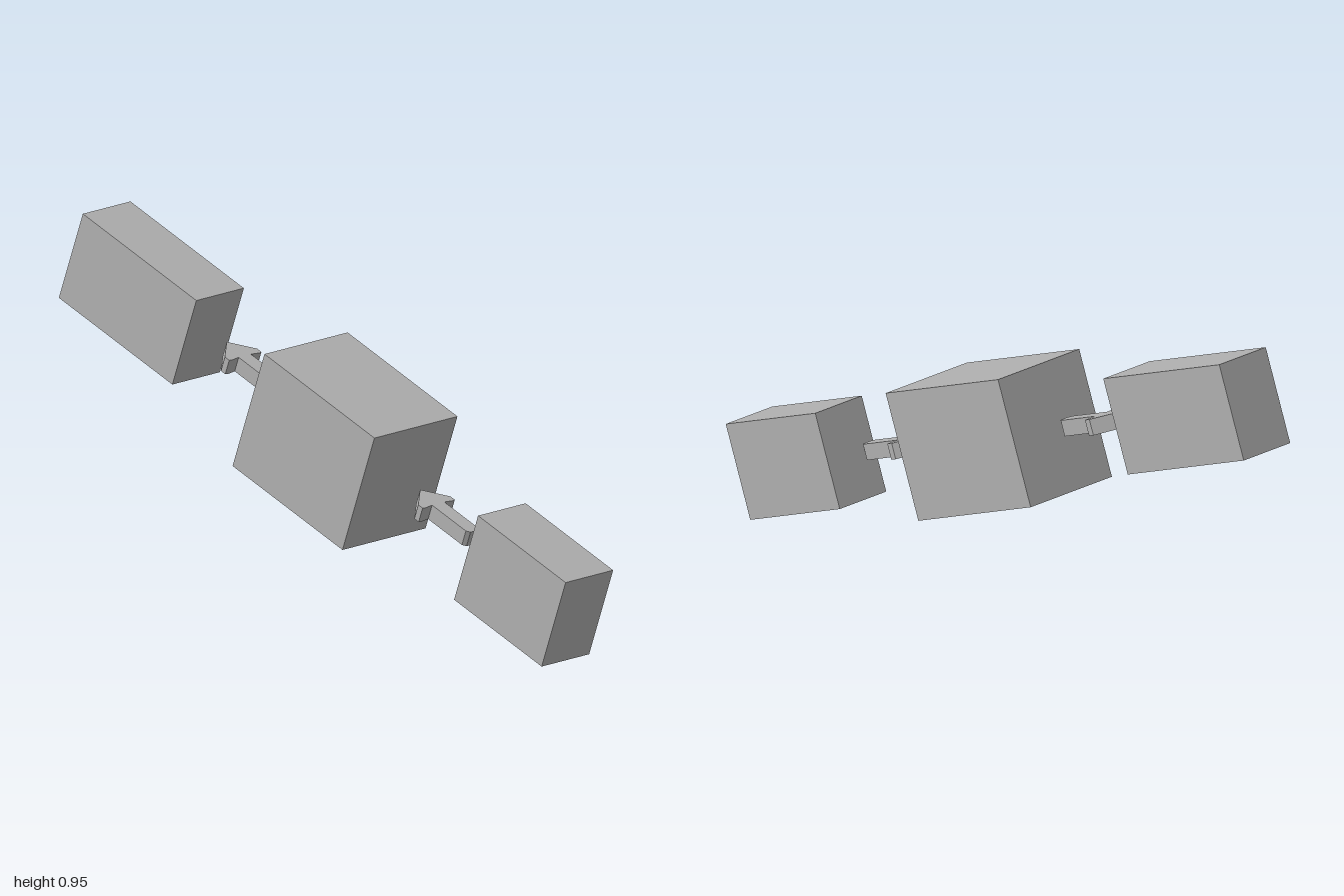
import * as THREE from 'three';

export function createModel() {
  const model = new THREE.Group();
  const grey = new THREE.MeshStandardMaterial({ color: 0xb0b0b0 });
  grey.name = 'grey';
  const tilt = THREE.MathUtils.degToRad(20);

  // Every part shares the same slope, rising towards the back
  const place = (name, geometry, y, z) => {
    const mesh = new THREE.Mesh(geometry, grey);
    mesh.name = name;
    mesh.position.set(0, y, z);
    mesh.rotation.x = tilt;
    model.add(mesh);
  };

  // Three blocks: name, width, height, length, y, z
  [
    ['frontBlock', 0.186, 0.277, 0.368, 0.197, 0.781],
    ['middleBlock', 0.325, 0.369, 0.462, 0.467, 0.036],
    ['backBlock', 0.186, 0.277, 0.477, 0.746, -0.729],
  ].forEach(([name, w, h, l, y, z]) => place(name, new THREE.BoxGeometry(w, h, l), y, z));

  // Flat arrow outline, tip up; the right half is mirrored to the left
  const half = [
    [0.063, 0.054], [0.063, 0.036], [0.054, 0.034], [0.024, 0.038],
    [0.024, -0.104], [0.015, -0.114],
  ];
  const outline = [[0, 0.114], ...half, ...half.map(([x, y]) => [-x, y]).reverse()];
  const shape = new THREE.Shape(outline.map(([x, y]) => new THREE.Vector2(x, y)));
  const thickness = 0.046;
  const arrow = new THREE.ExtrudeGeometry(shape, { depth: thickness, bevelEnabled: false });
  arrow.translate(0, 0, -thickness / 2);
  arrow.rotateX(-Math.PI / 2);

  // Arrows pointing up the slope between the blocks
  place('frontArrow', arrow, 0.324, 0.432);
  place('backArrow', arrow, 0.602, -0.332);

  return model;
}
